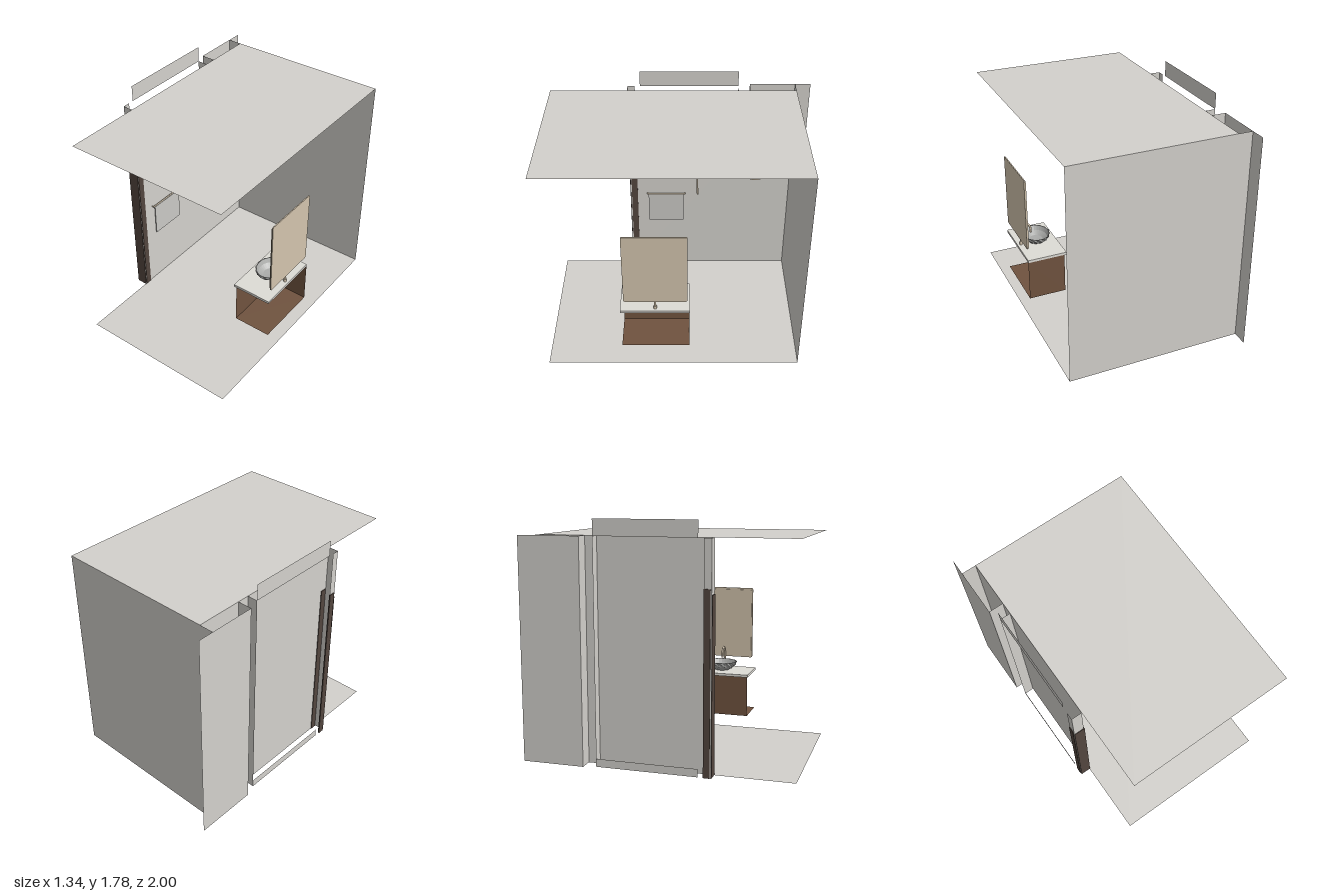
import * as THREE from 'three';

const material = (name, color) => {
  const m = new THREE.MeshStandardMaterial({ color, side: THREE.DoubleSide });
  m.name = name;
  return m;
};

export function createModel() {
  const model = new THREE.Group();
  model.name = 'bathroom';
  const wall = material('plaster', 0xd3d1cc);
  const wood = material('brownWood', 0x70533f);
  const dark = material('darkWood', 0x53463f);
  const brass = material('paleBrass', 0xd3c4ad);
  const stone = material('whiteStone', 0xdedcd6);
  const crystal = material('crystalGrey', 0xa9aaa8);
  const towelCloth = material('towelGrey', 0xcac9c5);

  const add = (name, geometry, mat, parent = model) => {
    const mesh = new THREE.Mesh(geometry, mat);
    mesh.name = name;
    parent.add(mesh);
    return mesh;
  };
  // Box given by its limits on each axis
  const box = (name, [x0, x1], [y0, y1], [z0, z1], mat, parent) => {
    const mesh = add(name, new THREE.BoxGeometry(x1 - x0, y1 - y0, z1 - z0), mat, parent);
    mesh.position.set((x0 + x1) / 2, (y0 + y1) / 2, (z0 + z1) / 2);
    return mesh;
  };
  // Flat sheets facing x, y or z, given by their limits
  const sheetX = (name, x, [y0, y1], [z0, z1], mat, parent) => {
    const mesh = add(name, new THREE.PlaneGeometry(z1 - z0, y1 - y0).rotateY(Math.PI / 2), mat, parent);
    mesh.position.set(x, (y0 + y1) / 2, (z0 + z1) / 2);
  };
  const sheetY = (name, y, [x0, x1], [z0, z1], mat, parent) => {
    const mesh = add(name, new THREE.PlaneGeometry(x1 - x0, z1 - z0).rotateX(-Math.PI / 2), mat, parent);
    mesh.position.set((x0 + x1) / 2, y, (z0 + z1) / 2);
  };
  const sheetZ = (name, z, [x0, x1], [y0, y1], mat, parent) => {
    const mesh = add(name, new THREE.PlaneGeometry(x1 - x0, y1 - y0), mat, parent);
    mesh.position.set((x0 + x1) / 2, (y0 + y1) / 2, z);
  };
  const rod = (name, radius, from, to, mat, parent) => {
    const path = new THREE.LineCurve3(new THREE.Vector3(...from), new THREE.Vector3(...to));
    return add(name, new THREE.TubeGeometry(path, 1, radius, 12), mat, parent);
  };

  // Room shell
  const full = [0, 1.66];
  sheetY('floor', 0, [-0.565, 0.67], [-0.88, 1], wall);
  sheetY('ceiling', 1.66, [-0.565, 0.67], [-0.88, 1], wall);
  sheetZ('backWall', -0.88, [-0.673, 0.67], full, wall);
  sheetX('innerSideWall', -0.565, full, [-0.88, 0.415], wall);
  sheetX('outerSideWall', -0.673, full, [-1, -0.53], wall);
  sheetZ('recessEnd', -0.53, [-0.673, -0.565], full, wall);
  sheetZ('recessReturn', -0.44, [-0.643, -0.565], full, wall);
  sheetX('upperFascia', -0.643, [1.66, 1.78], [-0.44, 0.32], wall);
  sheetX('lowerFascia', -0.643, [0, 0.06], [-0.44, 0.32], wall);
  sheetX('outerDoorWall', -0.643, full, [0.36, 0.415], wall);
  sheetZ('wallEnd', 0.415, [-0.643, -0.565], full, wall);

  // Door frame
  const frame = new THREE.Group();
  frame.name = 'doorFrame';
  model.add(frame);
  box('innerCasing', [-0.57, -0.56], [0, 1.32], [0.36, 0.408], dark, frame);
  box('outerCasing', [-0.648, -0.638], [0, 1.32], [0.36, 0.408], dark, frame);
  box('jamb', [-0.643, -0.56], [0, 1.28], [0.416, 0.42], dark, frame);

  // Vanity: cabinet open to the walls, with a stone top
  const vanity = new THREE.Group();
  vanity.name = 'vanity';
  model.add(vanity);
  sheetX('cabinetFront', 0.375, [0.18, 0.5], [-0.06, 0.44], wood, vanity);
  sheetZ('cabinetSide', -0.06, [0.375, 0.665], [0.18, 0.5], wood, vanity);
  sheetY('cabinetBottom', 0.18, [0.375, 0.665], [-0.06, 0.44], wood, vanity);
  box('counter', [0.358, 0.665], [0.5, 0.52], [-0.062, 0.445], stone, vanity);

  // Cut-crystal basin: faceted bowl whose alternate vertices are pushed outward
  const profile = [[0, 0.52], [0.045, 0.521], [0.07, 0.535], [0.09, 0.553], [0.102, 0.572], [0.108, 0.592],
    [0.1, 0.592], [0.084, 0.56], [0.05, 0.535], [0, 0.53]].map(([x, y]) => new THREE.Vector2(x, y));
  const sides = 28;
  const bowl = new THREE.LatheGeometry(profile, sides);
  const p = bowl.attributes.position;
  for (let i = 0; i < p.count; i++) {
    const ring = i % profile.length;
    const spoke = Math.floor(i / profile.length) % sides;
    const push = ring < 6 && (ring + spoke) % 2 ? 0.94 : 1;
    p.setXYZ(i, p.getX(i) * push, p.getY(i), p.getZ(i) * push * 1.17);
  }
  const facets = bowl.toNonIndexed();
  facets.computeVertexNormals();
  add('basin', facets, crystal, vanity).position.set(0.51, 0, 0.197);

  // Faucet
  const faucet = new THREE.Group();
  faucet.name = 'faucet';
  faucet.position.z = 0.19;
  vanity.add(faucet);
  const spout = new THREE.CatmullRomCurve3([[0.635, 0.52], [0.635, 0.6], [0.632, 0.655], [0.612, 0.683],
    [0.592, 0.689], [0.572, 0.683], [0.556, 0.655], [0.553, 0.61]].map(([x, y]) => new THREE.Vector3(x, y, 0)));
  add('spout', new THREE.TubeGeometry(spout, 32, 0.008, 12), brass, faucet);
  add('faucetBase', new THREE.CylinderGeometry(0.012, 0.012, 0.025, 16), brass, faucet).position.set(0.635, 0.5325, 0);

  // Mirror with softly rounded corners
  const roundedSheet = (w, h, r, depth) => {
    const s = new THREE.Shape();
    const a = w / 2 - r, b = h / 2 - r;
    s.absarc(a, b, r, 0, Math.PI / 2);
    s.absarc(-a, b, r, Math.PI / 2, Math.PI);
    s.absarc(-a, -b, r, Math.PI, Math.PI * 1.5);
    s.absarc(a, -b, r, Math.PI * 1.5, Math.PI * 2);
    return new THREE.ExtrudeGeometry(s, { depth, bevelEnabled: false, curveSegments: 6 }).rotateY(Math.PI / 2);
  };
  add('mirrorBack', roundedSheet(0.46, 0.575, 0.012, 0.008), brass).position.set(0.654, 0.892, 0.187);
  add('mirrorPanel', roundedSheet(0.445, 0.55, 0.01, 0.008), brass).position.set(0.645, 0.89, 0.187);

  // Rain shower
  const shower = new THREE.Group();
  shower.name = 'shower';
  shower.position.set(0.048, 0, -0.532);
  model.add(shower);
  rod('showerPipe', 0.005, [0, 1.305, 0], [0, 1.66, 0], brass, shower);
  add('showerHead', new THREE.CylinderGeometry(0.083, 0.083, 0.008, 32), brass, shower).position.y = 1.303;

  // Curtain rod and towel rail
  const curtainRod = rod('curtainRod', 0.006, [-0.565, 1.22, -0.117], [0.195, 1.22, -0.117], brass);
  curtainRod.add(new THREE.Group());
  add('curtainRodCap', new THREE.CircleGeometry(0.006, 12).rotateY(Math.PI / 2), brass).position.set(0.195, 1.22, -0.117);
  rod('towelRail', 0.006, [-0.55, 0.718, -0.03], [-0.55, 0.718, 0.28], brass);
  for (const z of [-0.028, 0.278]) rod('railBracket', 0.005, [-0.565, 0.718, z], [-0.55, 0.718, z], brass);
  box('towel', [-0.548, -0.542], [0.46, 0.715], [-0.02, 0.27], towelCloth);

  return model;
}
